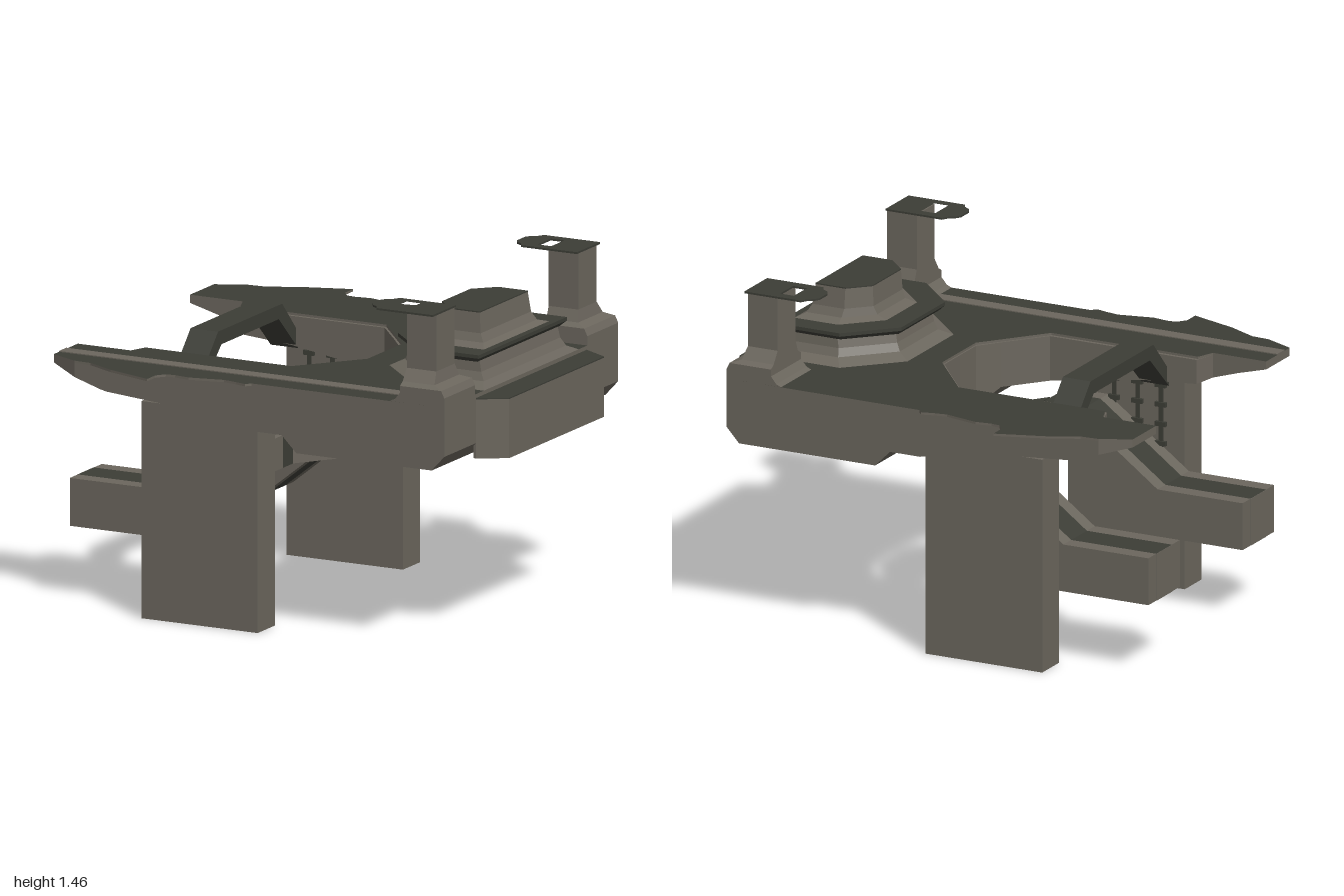
import * as THREE from 'three';

export function createModel() {
  const hull = new THREE.MeshStandardMaterial({ name: 'hull grey', color: 0x6b665d });
  const dark = new THREE.MeshStandardMaterial({ name: 'deck dark', color: 0x3c3d36 });
  const model = new THREE.Group();
  model.name = 'landingPlatform';

  const add = (name, geo, mat) => {
    const mesh = new THREE.Mesh(geo, mat);
    mesh.name = name;
    model.add(mesh);
    return mesh;
  };
  const box = (name, mat, x0, x1, y0, y1, z0, z1) => add(name,
    new THREE.BoxGeometry(x1 - x0, y1 - y0, Math.abs(z1 - z0)).translate((x0 + x1) / 2, (y0 + y1) / 2, (z0 + z1) / 2), mat);
  const shapeOf = (pts) => new THREE.Shape(pts.map(([a, b]) => new THREE.Vector2(a, b)));

  // Flat-faced solid through convex rings of [x, y, z] points, turned outward by its volume
  const loft = (rings) => {
    const tris = [];
    const n = rings[0].length;
    for (let i = 0; i < rings.length - 1; i++) {
      for (let j = 0; j < n; j++) {
        const k = (j + 1) % n;
        const [a, b, c, d] = [rings[i][j], rings[i][k], rings[i + 1][k], rings[i + 1][j]];
        tris.push([a, b, c], [a, c, d]);
      }
    }
    const end = rings[rings.length - 1];
    for (let j = 1; j < n - 1; j++) {
      tris.push([rings[0][0], rings[0][j + 1], rings[0][j]], [end[0], end[j], end[j + 1]]);
    }
    let volume = 0;
    const [u, v, w] = [new THREE.Vector3(), new THREE.Vector3(), new THREE.Vector3()];
    for (const [a, b, c] of tris) volume += u.set(...a).dot(v.set(...b).cross(w.set(...c)));
    const flat = tris.flatMap(([a, b, c]) => (volume < 0 ? [a, c, b] : [a, b, c])).flat();
    const geo = new THREE.BufferGeometry();
    geo.setAttribute('position', new THREE.Float32BufferAttribute(flat, 3));
    geo.computeVertexNormals();
    return geo;
  };

  // Horizontal slab from an (x, z) outline, with optional hole
  const slab = (pts, y0, y1, hole) => {
    const flip = (p) => p.map(([x, z]) => [x, -z]);
    const shape = shapeOf(flip(pts));
    if (hole) shape.holes.push(shapeOf(flip(hole)));
    return new THREE.ExtrudeGeometry(shape, { depth: y1 - y0, bevelEnabled: false })
      .rotateX(-Math.PI / 2).translate(0, y0, 0);
  };
  // Side profile in (x, y) extruded across z
  const across = (pts, z0, z1) => new THREE.ExtrudeGeometry(shapeOf(pts),
    { depth: z1 - z0, bevelEnabled: false }).translate(0, 0, z0);
  const mirrored = (pts) => [...pts, ...pts.map(([x, z]) => [x, -z]).reverse()];

  // Hull halves: stations of x, underside y, inner z, outer z
  const stations = [
    [-1, 1.045, 0.49, 0.70], [-0.87, 1.01, 0.49, 0.76], [-0.75, 0.972, 0.49, 0.76],
    [-0.72, 0.965, 0.40, 0.76], [-0.47, 0.945, 0.40, 0.76], [-0.03, 0.875, 0.40, 0.76],
    [0.11, 0.875, 0.23, 0.76], [0.18, 0.805, 0.14, 0.76], [0.181, 0.805, 0, 0.76],
    [0.82, 0.805, 0, 0.76], [0.88, 0.87, 0, 0.76],
  ];
  for (const s of [1, -1]) {
    add('hullHalf', loft(stations.map(([x, y, zi, zo]) =>
      [[x, y, s * zi], [x, y, s * zo], [x, 1.07, s * zo], [x, 1.07, s * zi]])), hull);
  }

  // Deck plate with jagged flared wings and an open bay
  const wing = [[-1, 0.70], [-0.87, 0.76], [-0.79, 0.765], [-0.66, 0.83], [-0.45, 0.90], [-0.45, 0.83],
    [-0.42, 0.79], [-0.38, 0.785], [-0.31, 0.795], [-0.16, 0.762], [-0.10, 0.772], [-0.05, 0.785],
    [-0.03, 0.763], [0.88, 0.76]];
  const bay = [[0.187, 0.15], [-0.03, 0.415], [-0.72, 0.415], [-0.75, 0.49], [-1, 0.49]];
  const deckOutline = [...mirrored(wing), ...bay.map(([x, z]) => [x, -z]).reverse(), ...bay];
  add('deckPlate', slab(deckOutline, 1.07, 1.08), [dark, hull]);
  box('deckChannel', hull, -1, 0.62, 1.08, 1.084, 0.59, 0.655);

  // Prow block on the +x end
  const prow = mirrored([[0.87, 0.485], [0.88, 0.485], [1, 0.415]]);
  add('prow', slab(prow, 0.805, 1.058), hull);
  add('prowTop', slab(prow, 1.058, 1.063), dark);

  // Bay floor
  const floor = mirrored([[-0.03, 0.40], [0.165, 0.14]]);
  add('bayFloor', slab(floor, 0.66, 0.80), hull);
  add('bayFloorTop', slab(mirrored([[-0.03, 0.40], [0.17, 0.14]]), 0.80, 0.804), dark);
  for (const s of [1, -1]) {
    add('floorMark', slab([[-0.03, s * 0.28], [0.04, s * 0.28], [0.04, s * 0.13], [-0.01, s * 0.06], [-0.03, s * 0.06]],
      0.804, 0.808), hull);
  }

  // Arched beam over the bay
  const arch = [[0.42, 1.00], [0.28, 1.15], [-0.28, 1.15], [-0.42, 1.00], [-0.42, 0.93], [-0.25, 1.09], [0.25, 1.09], [0.42, 0.93]];
  add('archBeam', new THREE.ExtrudeGeometry(shapeOf(arch), { depth: 0.13, bevelEnabled: false })
    .rotateY(-Math.PI / 2).translate(-0.45, 0, 0), dark);

  // Stepped command block, chamfered on the bay side
  const step = (x0, x1, hz, c, y) =>
    mirrored([[x0, hz - c], [x0 + c, hz], [x1, hz]]).map(([x, z]) => [x, y, z]);
  add('blockBase', loft([step(0.32, 0.88, 0.415, 0.21, 1.08), step(0.375, 0.85, 0.36, 0.19, 1.105),
    step(0.39, 0.83, 0.345, 0.18, 1.14), step(0.40, 0.82, 0.34, 0.18, 1.19)]), hull);
  add('blockLedge', loft([step(0.375, 0.82, 0.36, 0.18, 1.185), step(0.355, 0.84, 0.385, 0.19, 1.205),
    step(0.355, 0.84, 0.385, 0.19, 1.22)]), dark);
  add('blockTop', loft([step(0.455, 0.81, 0.285, 0.15, 1.22), step(0.505, 0.78, 0.235, 0.11, 1.235),
    step(0.52, 0.76, 0.22, 0.09, 1.27), step(0.525, 0.75, 0.21, 0.085, 1.355)]), hull);
  add('blockRoof', loft([step(0.525, 0.75, 0.21, 0.085, 1.355), step(0.525, 0.75, 0.21, 0.085, 1.36)]), dark);

  // Ramp side profile
  const ramp = [[-1, 0.315], [-0.55, 0.315], [-0.12, 0.66], [-0.03, 0.66], [-0.03, 0.80],
    [-0.22, 0.80], [-0.60, 0.52], [-1, 0.52]];
  const towerSections = [[0.60, 0.88, 0.49, 0.76, 1.07], [0.645, 0.88, 0.49, 0.76, 1.09],
    [0.67, 0.88, 0.49, 0.76, 1.12], [0.67, 0.865, 0.49, 0.76, 1.15], [0.67, 0.82, 0.52, 0.735, 1.165],
    [0.67, 0.81, 0.54, 0.70, 1.215], [0.67, 0.81, 0.54, 0.70, 1.455]];

  for (const s of [1, -1]) {
    // Leg with inner ladder strips
    box('leg', hull, -0.58, -0.03, 0, 0.93, s * 0.56, s * 0.71);
    for (let i = 0; i < 4; i++) {
      const x = -0.48 + i * 0.11;
      box('ladderStrip', dark, x, x + 0.018, 0.50, 0.92, s * 0.552, s * 0.56);
      for (let j = 0; j < 5; j++) {
        box('ladderRung', dark, x - 0.016, x + 0.034, 0.53 + j * 0.085, 0.55 + j * 0.085, s * 0.545, s * 0.56);
      }
    }

    // Ramp in three lanes with a dark middle
    for (const [z0, z1, mat] of [[0.28, 0.35, hull], [0.35, 0.49, dark], [0.49, 0.56, hull]]) {
      add('rampLane', across(ramp, s > 0 ? z0 : -z1, s > 0 ? z1 : -z0), mat);
    }
    box('rampEnd', hull, -1.002, -1, 0.315, 0.52, s * 0.35, s * 0.49);

    // Tower with flared foot and pierced top plate
    add('tower', loft(towerSections.map(([x0, x1, z0, z1, y]) =>
      [[x0, y, s * z0], [x0, y, s * z1], [x1, y, s * z1], [x1, y, s * z0]])), hull);
    const cap = [[0.49, 0.595], [0.505, 0.57], [0.53, 0.555], [0.545, 0.528], [0.81, 0.528],
      [0.81, 0.732], [0.545, 0.732], [0.53, 0.705], [0.505, 0.69], [0.49, 0.665]];
    const slot = [[0.60, 0.572], [0.665, 0.572], [0.665, 0.688], [0.60, 0.688]];
    const side = (pts) => pts.map(([x, z]) => [x, s * z]);
    add('towerCap', slab(side(cap), 1.455, 1.463, side(slot)), dark);
  }
  return model;
}
